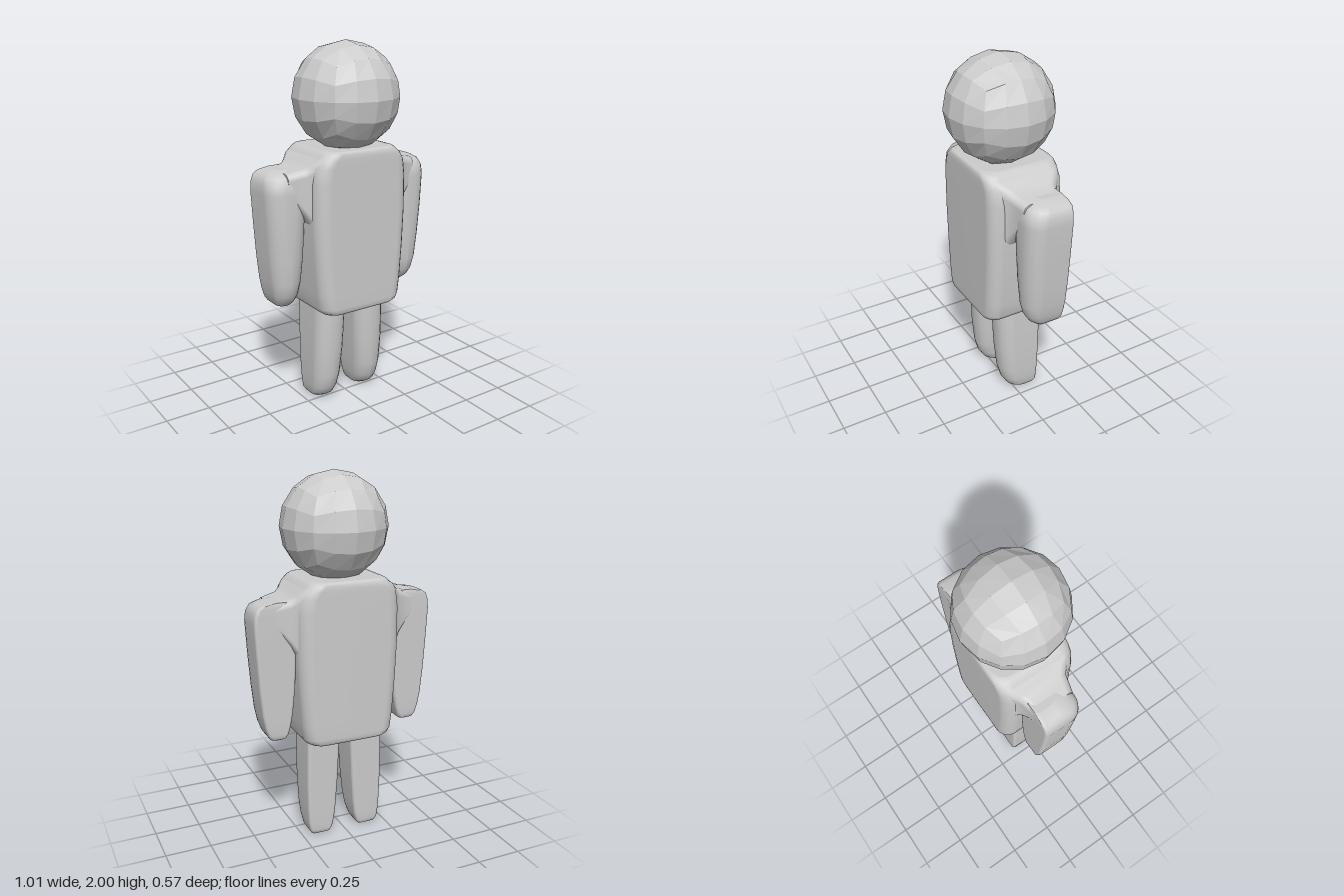
import * as THREE from 'three';

const smooth = new THREE.MeshStandardMaterial({ color: 0xcccccc });
const faceted = new THREE.MeshStandardMaterial({ color: 0xcccccc, flatShading: true });
const CORNER_STEPS = 5;

// Rounded rectangle, counterclockwise from above; separate radii for back and front corners
function ring([y, x0, x1, z0, z1, rBack, rFront]) {
  const limit = Math.min(x1 - x0, z1 - z0) * 0.49;
  const rb = Math.min(rBack, limit), rf = Math.min(rFront, limit);
  const corners = [
    [x1 - rb, z0 + rb, rb], [x0 + rb, z0 + rb, rb],
    [x0 + rf, z1 - rf, rf], [x1 - rf, z1 - rf, rf],
  ];
  const points = [];
  corners.forEach(([cx, cz, r], q) => {
    for (let k = 0; k <= CORNER_STEPS; k++) {
      const a = (q + k / CORNER_STEPS) * Math.PI / 2;
      points.push([cx + r * Math.cos(a), y, cz - r * Math.sin(a)]);
    }
  });
  return points;
}

// Skin a stack of rounded rectangles along y and close both ends
function loft(sections) {
  const rings = sections.map(ring), n = rings[0].length;
  const pos = rings.flat(2), index = [];
  for (let i = 0; i < rings.length - 1; i++) {
    for (let j = 0; j < n; j++) {
      const a = i * n + j, b = i * n + (j + 1) % n;
      index.push(a, b, a + n, b, b + n, a + n);
    }
  }
  [0, rings.length - 1].forEach((i) => {
    const [y, x0, x1, z0, z1] = sections[i];
    const base = pos.length / 3;
    pos.push(...rings[i].flat(), (x0 + x1) / 2, y, (z0 + z1) / 2);
    for (let j = 0; j < n; j++) {
      const a = base + j, b = base + (j + 1) % n;
      index.push(base + n, i ? a : b, i ? b : a);
    }
  });
  const geo = new THREE.BufferGeometry();
  geo.setAttribute('position', new THREE.Float32BufferAttribute(pos, 3));
  geo.setIndex(index);
  geo.computeVertexNormals();
  return geo;
}

// Mirror across x, keeping faces turned outward
function mirrored(source) {
  const geo = source.clone();
  const pos = geo.attributes.position, index = geo.index;
  for (let i = 0; i < pos.count; i++) pos.setX(i, -pos.getX(i));
  for (let i = 0; i < index.count; i += 3) {
    const b = index.getX(i + 1);
    index.setX(i + 1, index.getX(i + 2));
    index.setX(i + 2, b);
  }
  geo.computeVertexNormals();
  return geo;
}

// Ball made from a cube with four evenly spread quads per edge
function ballGeometry(radius) {
  const geo = new THREE.BoxGeometry(2, 2, 2, 4, 4, 4);
  const pos = geo.attributes.position, v = new THREE.Vector3();
  const spread = (t) => Math.tan(t * Math.PI / 4);
  for (let i = 0; i < pos.count; i++) {
    v.fromBufferAttribute(pos, i);
    v.set(spread(v.x), spread(v.y), spread(v.z)).setLength(radius);
    pos.setXYZ(i, v.x, v.y, v.z);
  }
  geo.computeVertexNormals();
  return geo;
}

export function createModel() {
  const model = new THREE.Group();
  const add = (name, geo, material = smooth) => {
    const mesh = new THREE.Mesh(geo, material);
    mesh.name = name;
    model.add(mesh);
    return mesh;
  };
  const addPair = (name, geo) => {
    add('left' + name, geo);
    add('right' + name, mirrored(geo));
  };

  // Head
  const head = add('head', ballGeometry(0.287), faceted);
  head.position.set(0.006, 1.713, 0);

  // Torso: y, half width, inset from front and back
  const torso = [
    [0.575, 0.2, 0.02], [0.578, 0.225, 0.01], [0.59, 0.242, 0.002], [0.615, 0.255, 0],
    [0.7, 0.266, 0], [0.9, 0.28, 0], [1.1, 0.288, 0], [1.3, 0.286, 0],
    [1.38, 0.275, 0], [1.42, 0.25, 0], [1.445, 0.225, 0.002], [1.456, 0.21, 0.01], [1.46, 0.19, 0.025],
  ].map(([y, w, d]) => [y, -w, w, -0.232 + d, 0.202 - d, 0.075, 0.075]);
  add('torso', loft(torso));

  // Shoulder fillets: lofted sideways (x, then front-back range, then height range)
  const shoulder = [
    [0.17, -0.22, 0.19, 0.98, 1.452], [0.21, -0.222, 0.192, 0.99, 1.447],
    [0.25, -0.208, 0.172, 1.02, 1.422], [0.28, -0.18, 0.135, 1.07, 1.393],
    [0.31, -0.158, 0.112, 1.12, 1.374], [0.36, -0.146, 0.1, 1.18, 1.364],
    [0.4, -0.142, 0.09, 1.2, 1.355],
  ].map(([x, z0, z1, y0, y1]) => [x, z0, z1, y0, y1, 0.04, 0.04]);
  const shoulderGeo = loft(shoulder);
  const p = shoulderGeo.attributes.position;
  for (let i = 0; i < p.count; i++) p.setXYZ(i, p.getY(i), p.getZ(i), p.getX(i));
  shoulderGeo.computeVertexNormals();
  addPair('Shoulder', shoulderGeo);

  // Arms: flat back, rounded front, tapering hand
  const arm = [
    [0.615, 0.355, 0.41, -0.125, -0.02], [0.622, 0.34, 0.428, -0.135, 0.01],
    [0.645, 0.328, 0.443, -0.14, 0.038], [0.69, 0.315, 0.457, -0.141, 0.066],
    [0.76, 0.303, 0.47, -0.142, 0.084], [0.9, 0.288, 0.484, -0.142, 0.094],
    [1.08, 0.28, 0.495, -0.143, 0.1], [1.25, 0.27, 0.504, -0.143, 0.1],
    [1.3, 0.27, 0.5, -0.143, 0.094], [1.335, 0.27, 0.487, -0.142, 0.075],
    [1.353, 0.275, 0.46, -0.14, 0.048], [1.364, 0.28, 0.4, -0.136, 0.01],
  ].map((s) => [...s, 0.018, 0.09]);
  addPair('Arm', loft(arm));

  // Legs: flat back, rounded front and toe
  const leg = [
    [0, 0.105, 0.175, -0.12, -0.04], [0.007, 0.088, 0.196, -0.132, -0.005],
    [0.03, 0.075, 0.209, -0.137, 0.032], [0.08, 0.063, 0.216, -0.138, 0.062],
    [0.16, 0.054, 0.221, -0.139, 0.083], [0.32, 0.043, 0.224, -0.141, 0.096],
    [0.5, 0.035, 0.222, -0.142, 0.102], [0.64, 0.03, 0.218, -0.142, 0.102],
  ].map((s) => [...s, 0.018, 0.08]);
  addPair('Leg', loft(leg));

  return model;
}
